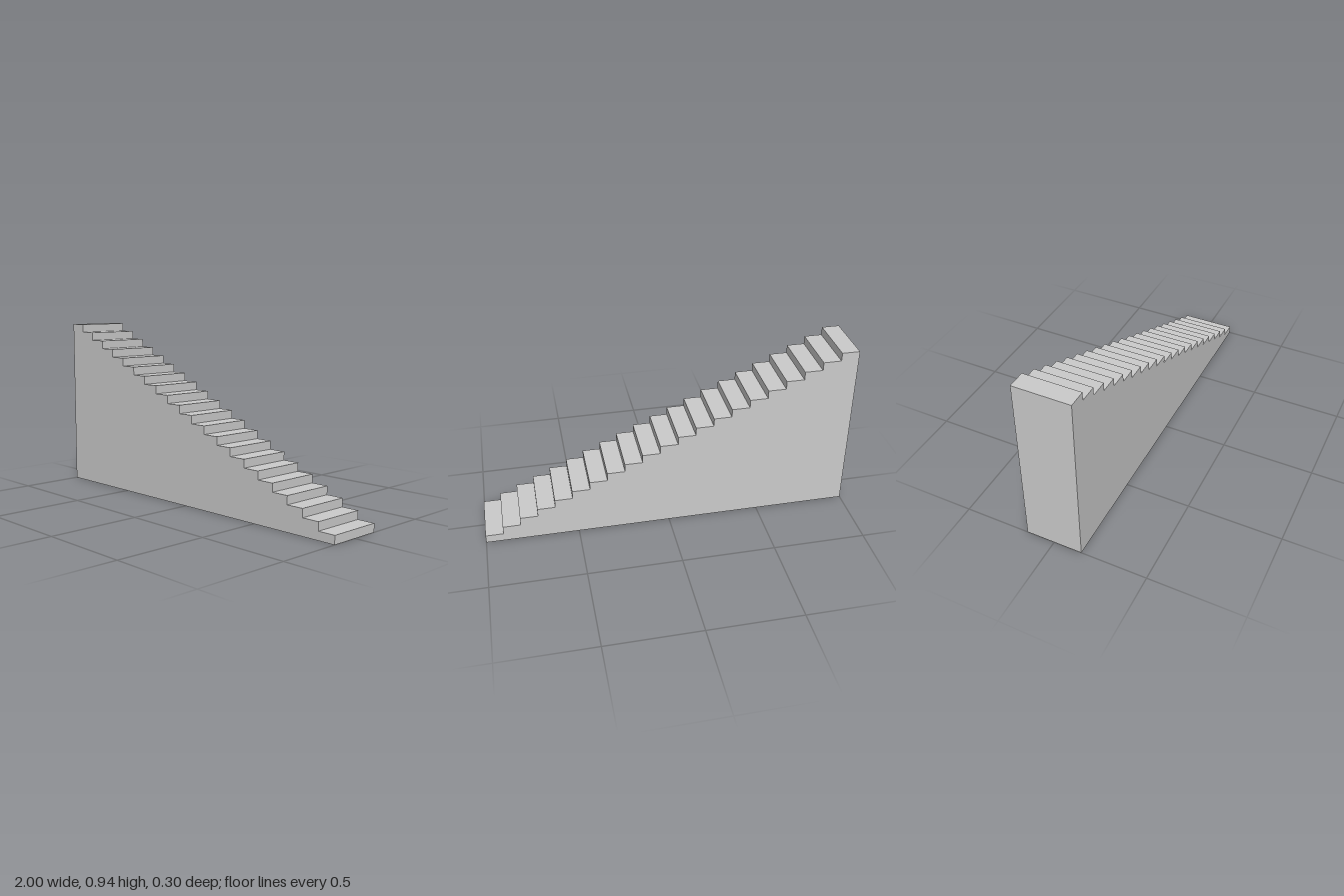
import * as THREE from 'three';

const STEPS = 21;
const LENGTH = 2, HEIGHT = 0.942, WIDTH = 0.302;
const RUN = LENGTH / STEPS, RISE = HEIGHT / STEPS;

// Stepped side outline; dir = -1 flips it left to right
function sideShape(dir) {
  const points = [new THREE.Vector2(-dir, 0), new THREE.Vector2(dir, 0)];
  for (let i = 0; i < STEPS; i++) {
    points.push(new THREE.Vector2(dir * (1 - i * RUN), (i + 1) * RISE));
    points.push(new THREE.Vector2(dir * (1 - (i + 1) * RUN), (i + 1) * RISE));
  }
  return new THREE.Shape(points);
}

export function createModel() {
  const model = new THREE.Group();
  model.name = 'staircase';
  const material = new THREE.MeshStandardMaterial({
    color: 0xcccccc, side: THREE.DoubleSide, flatShading: true,
  });

  function add(parent, name, geometry, x, y, z) {
    const mesh = new THREE.Mesh(geometry, material);
    mesh.name = name;
    mesh.position.set(x, y, z);
    parent.add(mesh);
  }

  // Thin side walls
  add(model, 'frontWall', new THREE.ShapeGeometry(sideShape(1)), 0, 0, WIDTH / 2);
  add(model, 'backWall', new THREE.ShapeGeometry(sideShape(-1)).rotateY(Math.PI), 0, 0, -WIDTH / 2);

  // Tall end wall; the underside stays open
  add(model, 'endWall', new THREE.PlaneGeometry(WIDTH, HEIGHT).rotateY(-Math.PI / 2), -1, HEIGHT / 2, 0);

  // Treads and risers, climbing towards -x
  const tread = new THREE.PlaneGeometry(RUN, WIDTH).rotateX(-Math.PI / 2);
  const riser = new THREE.PlaneGeometry(WIDTH, RISE).rotateY(Math.PI / 2);
  const steps = new THREE.Group();
  steps.name = 'steps';
  for (let i = 0; i < STEPS; i++) {
    add(steps, `riser${i + 1}`, riser, 1 - i * RUN, (i + 0.5) * RISE, 0);
    add(steps, `tread${i + 1}`, tread, 1 - (i + 0.5) * RUN, (i + 1) * RISE, 0);
  }
  model.add(steps);
  return model;
}
